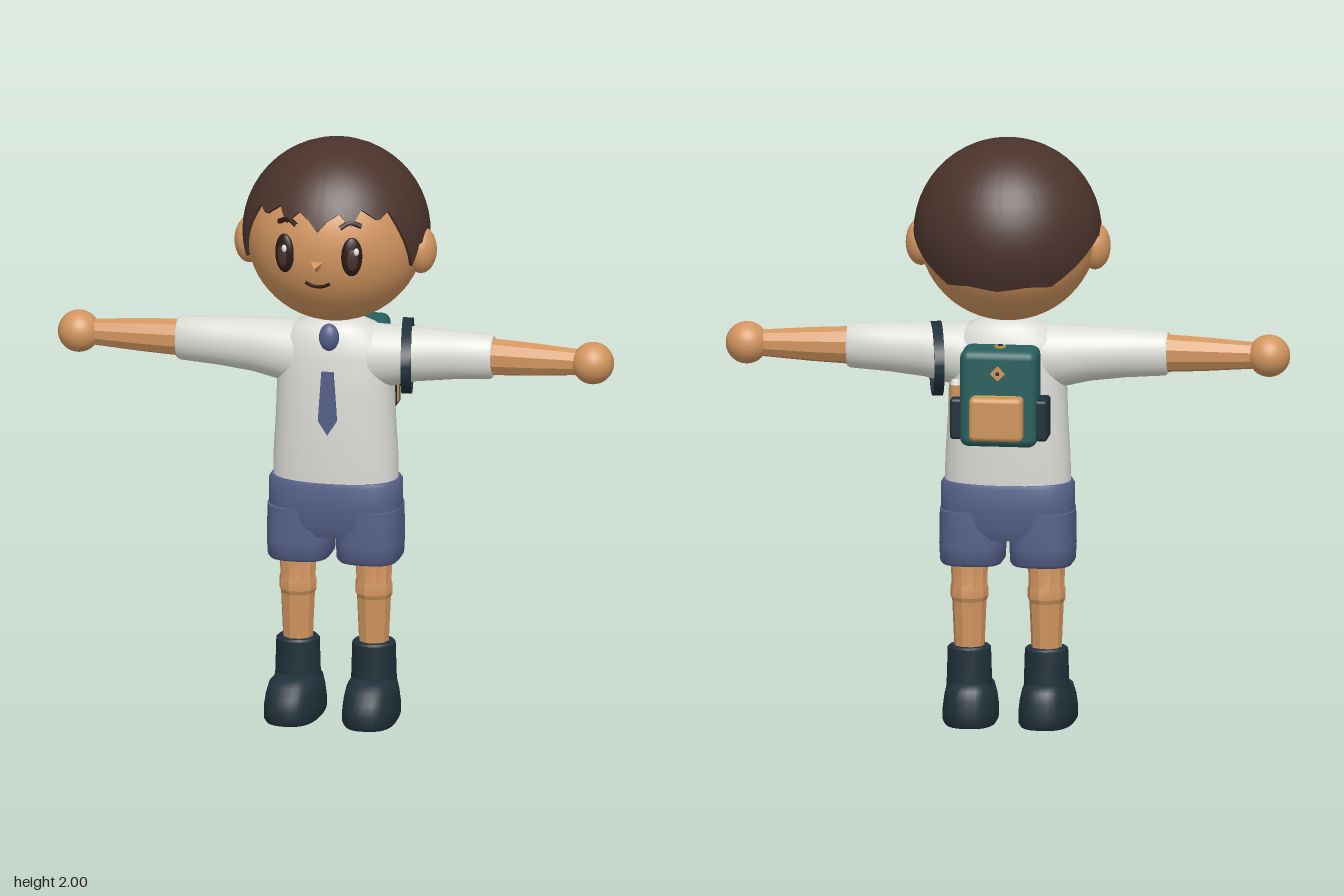
import * as THREE from 'three';
import { toCreasedNormals } from 'three/addons/utils/BufferGeometryUtils.js';
import { RoundedBoxGeometry } from 'three/addons/geometries/RoundedBoxGeometry.js';

const mat = (name, color, side = THREE.FrontSide) => {
  const m = new THREE.MeshStandardMaterial({ color, side });
  m.name = name;
  return m;
};
const HEAD_Y = 1.685, HEAD_R = 0.3, HAIR_R = 0.315;

// Closed skin over stacked superellipse rings: rows of [y, halfX, halfZ, centreX, centreZ]
function loft(rows, seg = 32, power = 2, crease = 0.7) {
  const pos = [], idx = [];
  const sp = (v) => Math.sign(v) * Math.abs(v) ** (2 / power);
  for (const [y, a, b, cx = 0, cz = 0] of rows)
    for (let j = 0; j < seg; j++) {
      const t = (j / seg) * Math.PI * 2;
      pos.push(cx + a * sp(Math.cos(t)), y, cz + b * sp(Math.sin(t)));
    }
  const n = rows.length;
  for (const r of [rows[0], rows[n - 1]]) pos.push(r[3] || 0, r[0], r[4] || 0);
  for (let j = 0; j < seg; j++) {
    const k = (j + 1) % seg, top = (n - 1) * seg;
    for (let i = 0; i < n - 1; i++) {
      const p = i * seg + j, q = i * seg + k;
      idx.push(p, p + seg, q, q, p + seg, q + seg);
    }
    idx.push(n * seg, j, k, n * seg + 1, top + k, top + j);
  }
  const g = new THREE.BufferGeometry();
  g.setAttribute('position', new THREE.Float32BufferAttribute(pos, 3));
  g.setIndex(idx);
  return toCreasedNormals(g, crease);
}

// Point on the head from arc lengths u (to the left) and v (up)
function onHead(u, v, r = HEAD_R) {
  const az = u / HEAD_R, el = v / HEAD_R;
  return new THREE.Vector3(r * Math.cos(el) * Math.sin(az), HEAD_Y + r * Math.sin(el), r * Math.cos(el) * Math.cos(az));
}

// Hair cap whose lower edge follows [angle from the front, height]
function hairGeometry() {
  const edge = [[0, 1.765], [6, 1.8], [14, 1.825], [22, 1.785], [30, 1.835], [41, 1.795], [50, 1.82], [57, 1.74],
    [68, 1.61], [74, 1.68], [100, 1.685], [110, 1.66], [142, 1.545], [160, 1.55], [180, 1.535]];
  const edgeY = (d) => {
    const i = Math.max(1, edge.findIndex((e) => e[0] >= d));
    const [d0, y0] = edge[i - 1], [d1, y1] = edge[i];
    return y0 + ((y1 - y0) * (d - d0)) / (d1 - d0);
  };
  const cols = 180, rows = 14, pos = [], idx = [];
  for (let i = 0; i <= rows; i++)
    for (let j = 0; j < cols; j++) {
      const deg = (j * 360) / cols, az = (deg * Math.PI) / 180;
      const e0 = Math.asin((edgeY(deg > 180 ? 360 - deg : deg) - HEAD_Y) / HAIR_R);
      const el = e0 + (Math.PI / 2 - e0) * Math.max(0, (i - 1) / (rows - 1));
      const r = i === 0 ? 0.29 : HAIR_R;
      pos.push(r * Math.cos(el) * Math.sin(az), r * Math.sin(el), r * Math.cos(el) * Math.cos(az));
    }
  for (let i = 0; i < rows; i++)
    for (let j = 0; j < cols; j++) {
      const p = i * cols + j, q = i * cols + ((j + 1) % cols);
      idx.push(p, q, p + cols, q, q + cols, p + cols);
    }
  const g = new THREE.BufferGeometry();
  g.setAttribute('position', new THREE.Float32BufferAttribute(pos, 3));
  g.setIndex(idx);
  return toCreasedNormals(g, 0.7);
}

export function createModel() {
  const skin = mat('skin', 0xd2955f), hair = mat('hair brown', 0x4b332c, THREE.DoubleSide);
  const shirt = mat('shirt white', 0xdcdcd7), blue = mat('shorts blue', 0x56618a);
  const navy = mat('dark navy', 0x20303a), teal = mat('pack teal', 0x28605f);
  const tan = mat('pocket tan', 0xd0965c), gold = mat('gold', 0xc49a38);
  const white = mat('white', 0xf0f0ee), dark = mat('face dark', 0x2c1a17);

  const body = new THREE.Group();
  body.name = 'body';
  const add = (name, geo, m, x = 0, y = 0, z = 0, parent = body) => {
    const mesh = new THREE.Mesh(geo, m);
    mesh.name = name;
    mesh.position.set(x, y, z);
    parent.add(mesh);
    return mesh;
  };
  const ball = (rx, ry, rz) => new THREE.SphereGeometry(1, 28, 20).scale(rx, ry, rz);
  const box = (w, h, d, r) => new RoundedBoxGeometry(w, h, d, 3, r);

  // Head and hair
  add('head', new THREE.SphereGeometry(HEAD_R, 48, 32), skin, 0, HEAD_Y, 0);
  add('hair', hairGeometry(), hair, 0, HEAD_Y, -0.008);
  add('nose', toCreasedNormals(new THREE.ConeGeometry(0.035, 0.06, 3).rotateX(Math.PI / 2), 0.1), skin, 0, 1.65, 0.31);

  // Face
  const line = (name, pts, r, m) => add(name, new THREE.TubeGeometry(
    new THREE.CatmullRomCurve3(pts.map(([u, v]) => onHead(u, v, 0.302))), 14, r, 6), m);
  line('mouth', [[-0.045, -0.1], [-0.022, -0.112], [0, -0.115], [0.022, -0.112], [0.045, -0.1]], 0.006, dark);
  for (const s of [1, -1]) {
    const side = s > 0 ? 'left' : 'right';
    const eye = new THREE.Group();
    eye.name = side + 'Eye';
    eye.position.copy(onHead(s * 0.118, -0.003));
    eye.rotation.y = (s * 0.118) / HEAD_R;
    body.add(eye);
    add('eyeball', ball(0.036, 0.067, 0.019), dark, 0, 0, 0, eye);
    add('iris', ball(0.026, 0.05, 0.019), hair, 0, -0.004, 0.003, eye);
    add('highlight', ball(0.009, 0.013, 0.006), white, 0.012, 0.022, 0.02, eye);
    line(side + 'Brow', [[s * 0.078, 0.095], [s * 0.115, 0.112], [s * 0.155, 0.098]], 0.009, dark);
    add(side + 'Ear', ball(0.052, 0.08, 0.062), skin, s * 0.293, 1.64, 0.005);
  }

  // Shirt and tie
  add('shirt', loft([[0.82, 0.212, 0.125], [0.92, 0.21, 0.13], [1.05, 0.202, 0.13], [1.17, 0.198, 0.126],
    [1.27, 0.2, 0.118], [1.33, 0.18, 0.108], [1.365, 0.14, 0.09], [1.39, 0.08, 0.06]], 40, 2.3, 1), shirt);
  add('tieKnot', ball(0.034, 0.047, 0.03), blue, 0, 1.345, 0.108);
  const blade = new THREE.Shape([[-0.02, 0.22], [-0.032, 0.05], [0, 0], [0.032, 0.05], [0.02, 0.22]]
    .map((p) => new THREE.Vector2(...p)));
  add('tieBlade', new THREE.ExtrudeGeometry(blade, { depth: 0.012, bevelEnabled: false }), blue, 0, 1.01, 0.127);

  // Arms, legs and boots
  for (const s of [1, -1]) {
    const side = s > 0 ? 'left' : 'right';
    const arm = new THREE.Group();
    arm.name = side + 'Arm';
    arm.rotation.y = s > 0 ? 0 : Math.PI;
    body.add(arm);
    // rows run outward along x once turned
    const limb = (rows, ...rest) => loft(rows, ...rest).rotateZ(-Math.PI / 2);
    add('sleeve', limb([[0.1, 0.115, 0.1, -1.255], [0.2, 0.103, 0.095, -1.265], [0.28, 0.092, 0.084, -1.273],
      [0.4, 0.083, 0.07, -1.278], [0.53, 0.076, 0.061, -1.28], [0.54, 0.07, 0.056, -1.28]], 28, 2, 1), shirt, 0, 0, 0, arm);
    add('forearm', limb([[0.5, 0.066, 0.054, -1.28], [0.66, 0.058, 0.05, -1.28], [0.85, 0.044, 0.036, -1.28]],
      10, 2, 0.3), skin, 0, 0, 0, arm);
    add('hand', ball(0.071, 0.071, 0.071), skin, 0.88, 1.28, 0, arm);

    add(side + 'Leg', loft([[0.24, 0.05, 0.05], [0.42, 0.058, 0.058], [0.435, 0.064, 0.064], [0.465, 0.064, 0.064],
      [0.48, 0.06, 0.06], [0.62, 0.066, 0.066]], 10, 2, 0.3), skin, s * 0.13, 0, 0);
    add(side + 'ShortsLeg', loft([[0.555, 0.1, 0.112], [0.565, 0.107, 0.12], [0.62, 0.11, 0.124], [0.74, 0.108, 0.122]],
      32, 3, 0.9), blue, s * 0.118, 0, 0);
    add(side + 'BootShaft', loft([[0.1, 0.078, 0.078], [0.26, 0.073, 0.073], [0.267, 0.066, 0.066]], 20), navy, s * 0.13, 0, 0);
    add(side + 'Boot', loft([[0, 0.086, 0.15, 0, 0.04], [0.012, 0.093, 0.158, 0, 0.04], [0.05, 0.093, 0.158, 0, 0.04],
      [0.09, 0.088, 0.15, 0, 0.038], [0.125, 0.08, 0.135, 0, 0.032], [0.145, 0.062, 0.105, 0, 0.02]], 32, 2.6, 0.9),
      navy, s * 0.128, 0, 0).rotation.y = s * 0.06;
  }
  add('shortsHip', loft([[0.645, 0.19, 0.11], [0.68, 0.22, 0.125], [0.76, 0.224, 0.129], [0.825, 0.224, 0.13],
    [0.838, 0.215, 0.126]], 40, 2.8, 0.9), blue);

  // Backpack
  const pack = new THREE.Group();
  pack.name = 'backpack';
  body.add(pack);
  add('packBody', box(0.26, 0.33, 0.15, 0.03), teal, 0, 1.165, -0.21, pack);
  add('backPocket', box(0.18, 0.15, 0.07, 0.018), tan, 0, 1.108, -0.317, pack);
  add('zip', box(0.15, 0.008, 0.008, 0.003), gold, 0, 1.184, -0.325, pack);
  add('topButton', new THREE.CylinderGeometry(0.02, 0.02, 0.009, 16), gold, 0, 1.332, -0.21, pack);
  add('topButtonCentre', new THREE.CylinderGeometry(0.009, 0.009, 0.009, 12), navy, 0, 1.335, -0.21, pack);
  add('badge', new THREE.BoxGeometry(0.036, 0.036, 0.008), tan, 0, 1.255, -0.287, pack).rotation.z = Math.PI / 4;
  add('badgeCentre', new THREE.BoxGeometry(0.012, 0.012, 0.008), navy, 0, 1.255, -0.289, pack);
  for (const s of [1, -1]) add('sidePocket', box(0.045, 0.14, 0.11, 0.012), navy, s * 0.142, 1.092, -0.212, pack);
  add('bottle', new THREE.CylinderGeometry(0.02, 0.02, 0.16, 16), tan, 0.15, 1.12, -0.212, pack);
  add('bottleCap', new THREE.CylinderGeometry(0.014, 0.018, 0.016, 16), white, 0.15, 1.207, -0.212, pack);

  // Shoulder strap: a flat oval band
  const band = new THREE.Shape().absellipse(0, 0, 0.178, 0.122, 0, Math.PI * 2);
  band.holes.push(new THREE.Path().absellipse(0, 0, 0.168, 0.112, 0, Math.PI * 2));
  const strap = new THREE.ExtrudeGeometry(band, { depth: 0.034, bevelEnabled: false, curveSegments: 40 });
  strap.translate(0, 0, -0.017).rotateY(Math.PI / 2);
  add('strap', toCreasedNormals(strap, 0.6), navy, 0.235, 1.252, -0.045, pack).rotation.y = 0.18;

  // The figure stands turned toward its right
  body.rotation.y = THREE.MathUtils.degToRad(-48);
  const model = new THREE.Group();
  model.name = 'schoolchild';
  model.add(body);
  return model;
}
